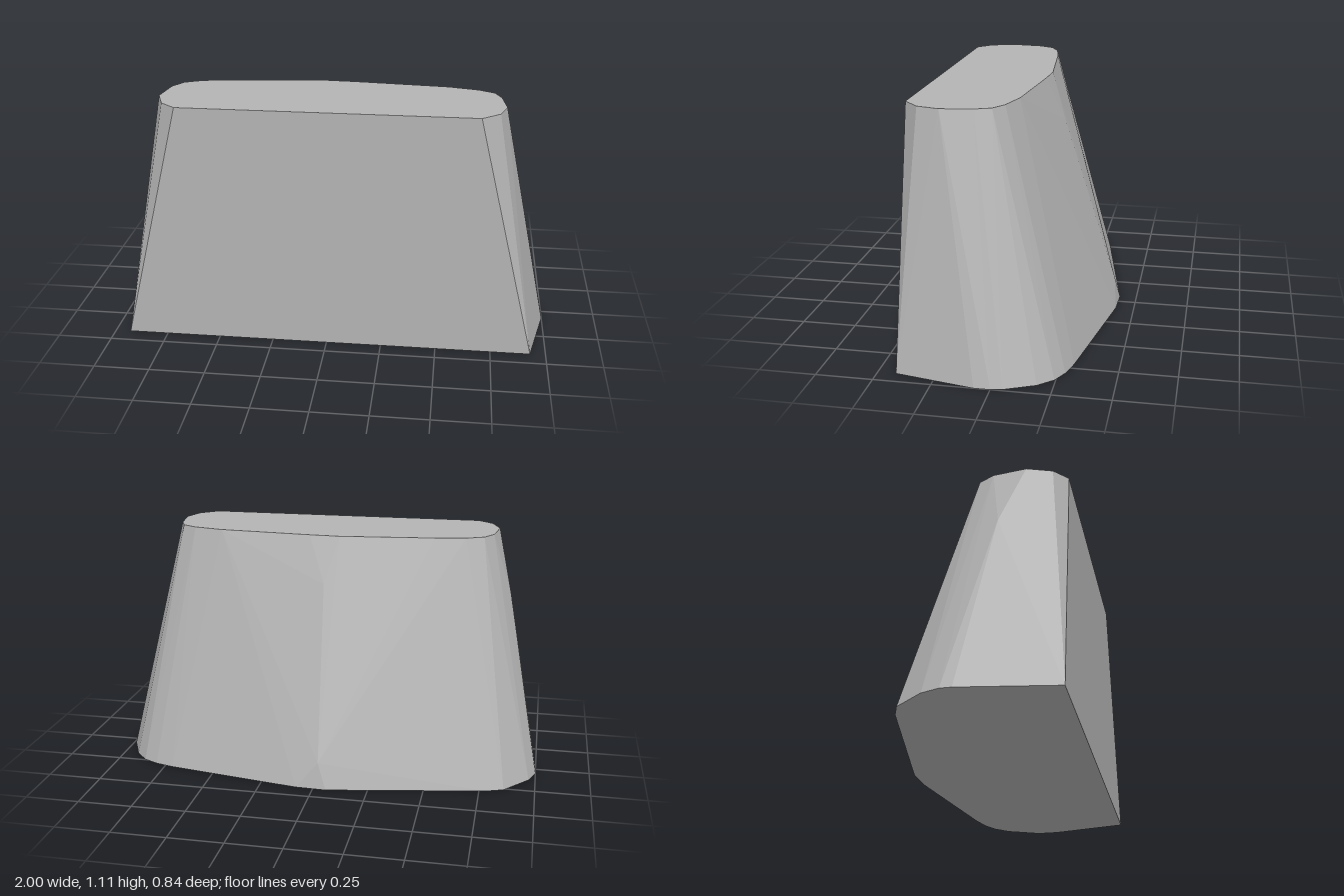
import * as THREE from 'three';
import { ConvexGeometry } from 'three/addons/geometries/ConvexGeometry.js';

export function createModel() {
  const group = new THREE.Group();
  group.name = 'taperedBlock';
  const grey = new THREE.MeshStandardMaterial({ color: 0xb4b4b4 });
  grey.name = 'plain grey';

  const HEIGHT = 1.11;
  // Outlines as [x, z], from front right round the back to front left
  const base = [
    [-0.93, 0.42], [-1, 0], [-1, -0.05], [-0.97, -0.13], [-0.86, -0.26], [-0.78, -0.29],
    [-0.06, -0.42], [0.08, -0.415], [0.71, -0.305], [0.80, -0.28], [0.87, -0.245],
    [0.93, -0.18], [0.99, -0.05], [1, 0], [1, 0.07], [0.93, 0.42],
  ];
  const top = [
    [-0.66, 0.42], [-0.73, 0.36], [-0.77, 0.25], [-0.75, 0.10], [-0.71, 0.03], [-0.63, -0.01],
    [-0.49, -0.035], [-0.06, -0.08], [0.08, -0.073], [0.51, -0.035], [0.65, 0],
    [0.72, 0.04], [0.75, 0.11], [0.77, 0.25], [0.74, 0.35], [0.66, 0.42],
  ];
  // Slight swellings of the side wall between the outlines: [x, y, z]
  const swellings = [[-0.02, 0.12, -0.395], [0, 0.9, -0.15], [-0.84, 0.82, 0.14]];

  const at = (y) => ([x, z]) => new THREE.Vector3(x, y, z);
  const points = [
    ...base.map(at(0)),
    ...top.map(at(HEIGHT)),
    ...swellings.map((p) => new THREE.Vector3(...p)),
  ];

  // Faceted solid with flat front, top and underside
  const body = new THREE.Mesh(new ConvexGeometry(points), grey);
  body.name = 'body';
  group.add(body);
  return group;
}
